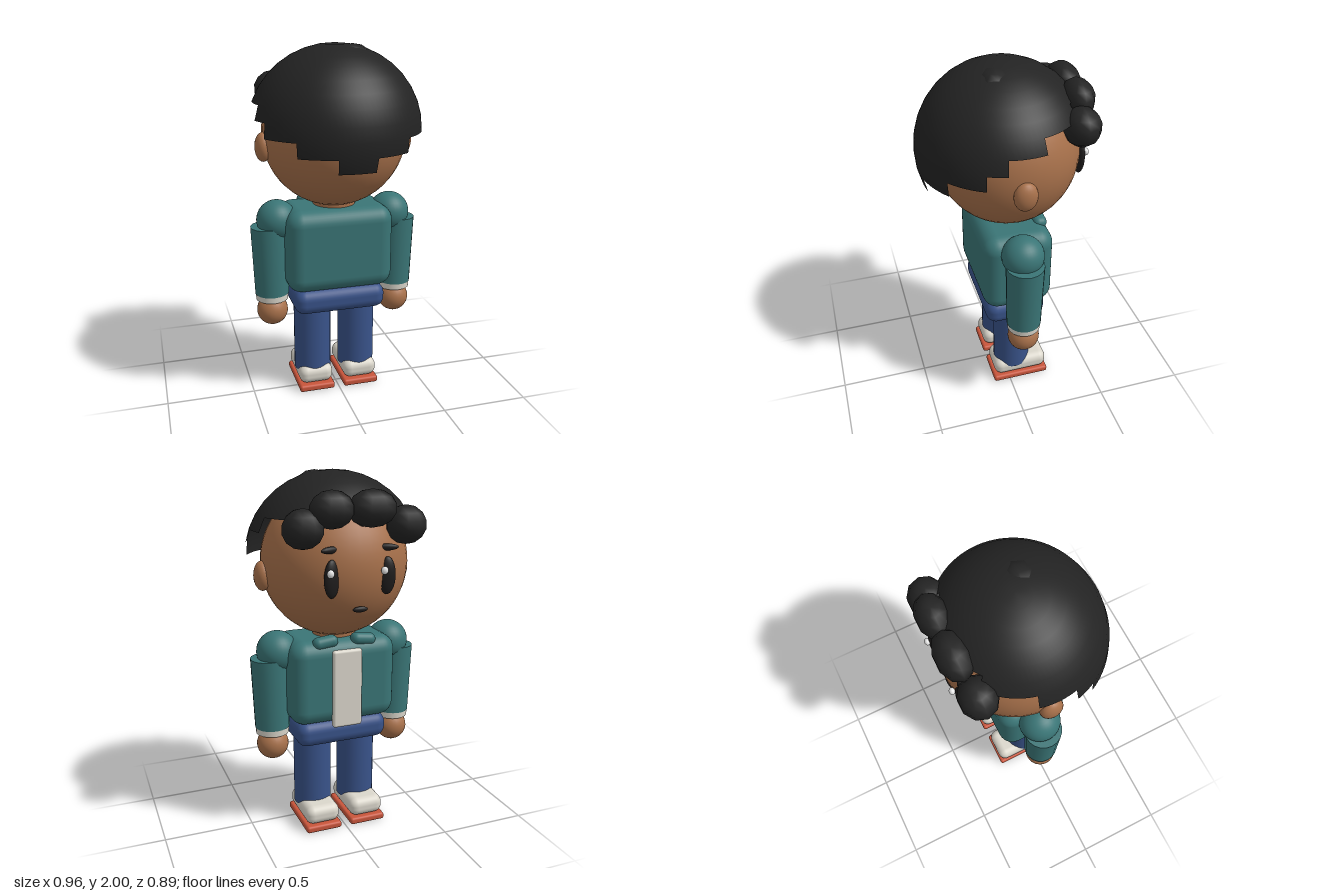
import * as THREE from 'three';
import { mergeGeometries } from 'three/addons/utils/BufferGeometryUtils.js';
import { RoundedBoxGeometry } from 'three/addons/geometries/RoundedBoxGeometry.js';

const material = (name, color, side = THREE.FrontSide) => {
  const m = new THREE.MeshStandardMaterial({ color, side });
  m.name = name;
  return m;
};

export function createModel() {
  const model = new THREE.Group();
  model.name = 'standingFigure';

  const skin = material('skin', 0xa8714b);
  const black = material('hairBlack', 0x232323, THREE.DoubleSide);
  const dark = material('faceDark', 0x1e1c1c);
  const teal = material('shirtTeal', 0x3a7576);
  const blue = material('trouserBlue', 0x39538a);
  const cream = material('cream', 0xdbd7cc);
  const white = material('highlightWhite', 0xf2f2f2);
  const orange = material('soleOrange', 0xc9553b);

  const add = (name, geometry, mat, x, y, z) => {
    const mesh = new THREE.Mesh(geometry, mat);
    mesh.name = name;
    mesh.position.set(x, y, z);
    model.add(mesh);
    return mesh;
  };
  const ball = (name, mat, [x, y, z], [rx, ry, rz], w = 32, h = 20) => {
    const mesh = add(name, new THREE.SphereGeometry(1, w, h), mat, x, y, z);
    mesh.scale.set(rx, ry, rz);
    return mesh;
  };
  const box = (name, mat, [x, y, z], [w, h, d], r) =>
    add(name, new RoundedBoxGeometry(w, h, d, 4, r), mat, x, y, z);

  // Head and mouth; the figure looks towards -z
  ball('head', skin, [0, 1.52, -0.03], [0.4, 0.405, 0.387], 40, 28);
  ball('mouth', dark, [0, 1.328, -0.395], [0.042, 0.015, 0.012], 16, 10);

  // Hair cap: one wedge per segment, cut at a different row to give the stepped hem
  const segments = 28;
  const step = (Math.PI * 2) / segments;
  const rowsFromNape = [11, 10, 10, 9, 9, 8, 7, 7, 6, 6, 6, 5, 5, 5];
  const wedges = [];
  for (let i = 0; i < segments; i++) {
    const rows = rowsFromNape[Math.min(i, segments - 1 - i)];
    wedges.push(new THREE.SphereGeometry(0.46, 1, rows, Math.PI / 2 + i * step, step, 0, rows * Math.PI / 18));
  }
  add('hairCap', mergeGeometries(wedges), black, 0, 1.54, -0.01).scale.x = 1.035;
  ball('crownTuft', black, [0.08, 1.932, 0.05], [0.1, 0.065, 0.09], 8, 6);

  // Curls of the fringe
  [
    [-0.275, 1.735, -0.335, 0.11, 0.1, 0.098],
    [-0.075, 1.825, -0.36, 0.135, 0.095, 0.09],
    [0.14, 1.825, -0.36, 0.12, 0.095, 0.085],
    [0.28, 1.735, -0.335, 0.11, 0.1, 0.098],
  ].forEach(([x, y, z, rx, ry, rz]) =>
    ball('fringeCurl', black, [x, y, z], [rx, ry, rz], 10, 7));

  // Torso, front panel and hips
  box('torso', teal, [0, 0.88, -0.032], [0.61, 0.475, 0.395], 0.085);
  box('frontPanel', cream, [0, 0.85, -0.23], [0.17, 0.44, 0.035], 0.015);
  box('hips', blue, [0, 0.578, -0.028], [0.53, 0.145, 0.345], 0.06);
  add('neck', new THREE.CylinderGeometry(0.12, 0.12, 0.1, 24), skin, 0, 1.11, -0.03);

  // Mirrored parts
  for (const s of [-1, 1]) {
    ball('ear', skin, [s * 0.4, 1.46, -0.015], [0.045, 0.08, 0.063], 20, 14);
    const eye = ball('eye', dark, [s * 0.15, 1.49, -0.385], [0.045, 0.097, 0.024], 24, 16);
    eye.rotation.y = s * 0.25;
    const brow = ball('eyebrow', dark, [s * 0.15, 1.632, -0.373], [0.062, 0.018, 0.016], 16, 10);
    brow.rotation.y = s * 0.3;
    ball('eyeHighlight', white, [s * 0.145 + 0.022, 1.522, -0.415], [0.019, 0.021, 0.016], 12, 8);

    const collar = box('collar', teal, [s * 0.11, 1.11, -0.185], [0.14, 0.065, 0.075], 0.032);
    collar.rotation.z = -s * 0.12;

    ball('shoulder', teal, [s * 0.332, 1.042, -0.03], [0.114, 0.114, 0.116]);
    const sleeve = add('sleeve', new THREE.CylinderGeometry(0.105, 0.097, 0.4, 20), teal, s * 0.373, 0.81, -0.03);
    sleeve.rotation.z = -s * 0.02;
    add('cuff', new THREE.CylinderGeometry(0.094, 0.092, 0.045, 20), cream, s * 0.37, 0.596, -0.03);
    ball('hand', skin, [s * 0.37, 0.505, -0.03], [0.089, 0.089, 0.089], 24, 16);

    add('leg', new THREE.CylinderGeometry(0.108, 0.108, 0.45, 28), blue, s * 0.134, 0.335, -0.032);
    box('shoe', cream, [s * 0.134, 0.094, -0.072], [0.2, 0.108, 0.325], 0.046);
    box('sole', orange, [s * 0.134, 0.02, -0.07], [0.21, 0.04, 0.34], 0.014);
  }
  return model;
}
